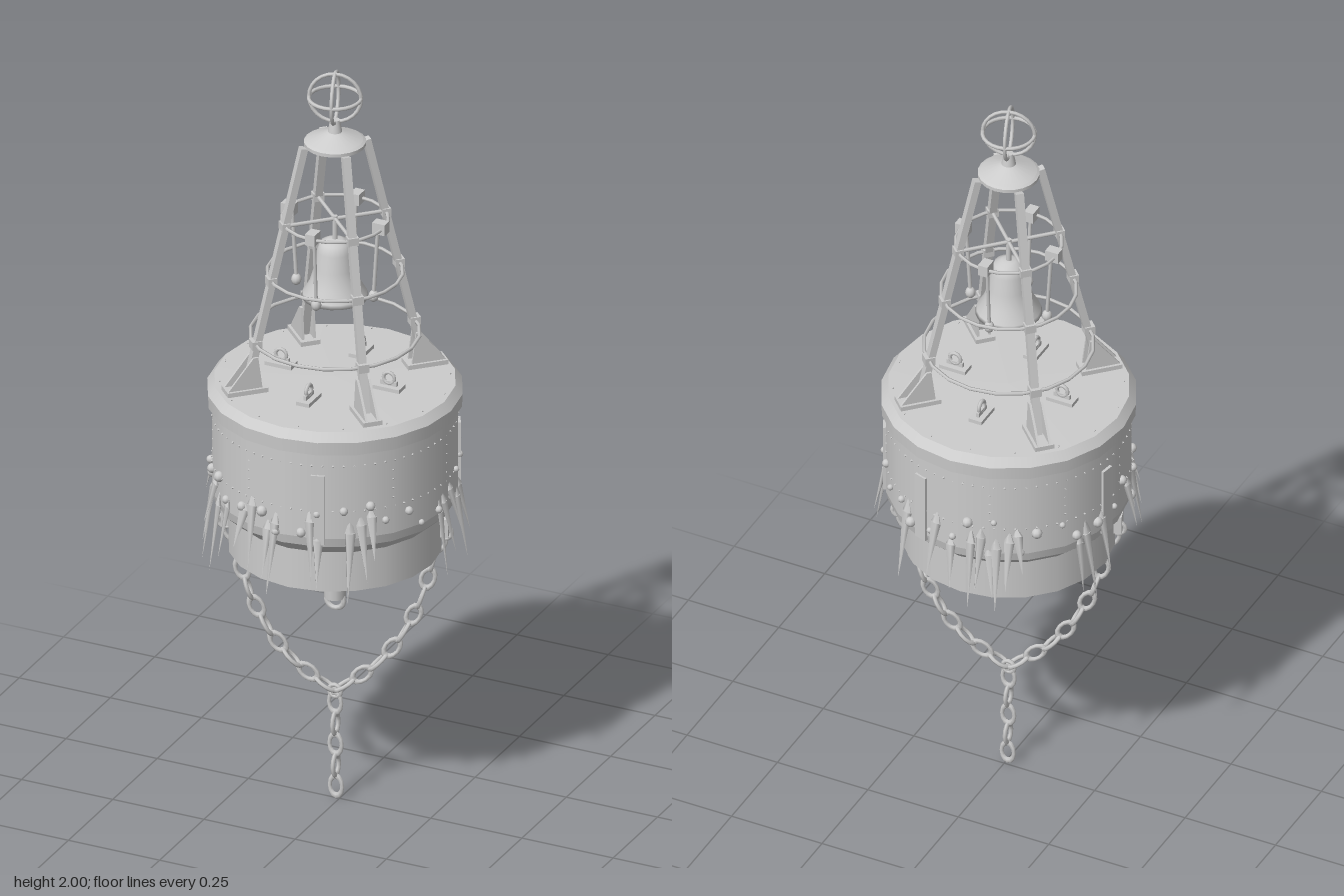
import * as THREE from 'three';
import { mergeGeometries } from 'three/addons/utils/BufferGeometryUtils.js';

const steel = new THREE.MeshStandardMaterial({ color: 0xcccccc });
steel.name = 'pale grey steel';
const V = (x, y, z) => new THREE.Vector3(x, y, z);
const UP = V(0, 1, 0);
const rad = THREE.MathUtils.degToRad;

function add(parent, name, geo, x = 0, y = 0, z = 0) {
  const m = new THREE.Mesh(geo, steel);
  m.name = name;
  m.position.set(x, y, z);
  parent.add(m);
  return m;
}
// group turned so that its +x points to the azimuth (degrees from +x towards +z)
function at(parent, name, deg) {
  const g = new THREE.Group();
  g.name = name;
  g.rotation.y = -rad(deg);
  parent.add(g);
  return g;
}
// revolved profile with a hard edge at every profile point
function turned(pts, sides) {
  const parts = [];
  for (let i = 1; i < pts.length; i++) {
    parts.push(new THREE.LatheGeometry([pts[i - 1], pts[i]].map(p => new THREE.Vector2(...p)), sides));
  }
  return mergeGeometries(parts);
}
// bar between two points
function beam(parent, name, a, b, geoOf) {
  const m = add(parent, name, geoOf(a.distanceTo(b)));
  m.position.copy(a).lerp(b, 0.5);
  m.quaternion.setFromUnitVectors(UP, b.clone().sub(a).normalize());
  return m;
}
function hoop(parent, name, r, tube, y, sides = 20) {
  const m = add(parent, name, new THREE.TorusGeometry(r, tube, 5, sides), 0, y, 0);
  m.rotation.x = Math.PI / 2;
  return m;
}

// oval links along a curve, every second one turned a quarter
function chain(parent, name, curve, count) {
  const g = new THREE.Group();
  g.name = name;
  parent.add(g);
  const link = new THREE.TorusGeometry(0.017, 0.0055, 6, 12).scale(1, 1.6, 1);
  for (let i = 0; i < count; i++) {
    const u = (i + 0.5) / count;
    const m = add(g, 'chainLink', link);
    m.position.copy(curve.getPointAt(u));
    m.quaternion.setFromUnitVectors(UP, curve.getTangentAt(u));
    m.rotateY(i % 2 ? Math.PI / 2 : 0);
  }
}

export function createModel() {
  const model = new THREE.Group();
  model.name = 'bellBuoy';
  const buoy = new THREE.Group();
  buoy.name = 'buoy';
  buoy.position.set(-0.01, 0, 0.005);
  model.add(buoy);

  // float: coned underside, open skirt, drum, rim and deck
  add(buoy, 'floatDrum', turned([[0, 0.715], [0.257, 0.8], [0.257, 0.7], [0.265, 0.7], [0.265, 0.808],
    [0.3, 0.84], [0.306, 0.865], [0.306, 1.1], [0.316, 1.1], [0.318, 1.135], [0.3, 1.157], [0, 1.163]], 20));

  // rivets on deck and drum
  const rivets = [];
  const rivet = (deg, r, y) => rivets.push(new THREE.OctahedronGeometry(0.0035)
    .translate(r * Math.cos(rad(deg)), y, r * Math.sin(rad(deg))));
  for (let i = 0; i < 16; i++) rivet(i * 22.5 + 15, 0.285, 1.16);
  for (let i = 0; i < 72; i++) {
    rivet(i * 5, 0.304, 1.065);
    rivet(i * 5, 0.304, 0.94);
  }
  for (let c = 0; c < 10; c++) for (let j = 1; j < 5; j++) rivet(c * 36, 0.305, 0.94 + j * 0.025);
  add(buoy, 'rivets', mergeGeometries(rivets));

  // vertical patch plates
  for (const deg of [-27, -72, 72, 191]) {
    add(at(buoy, 'patchPlate', deg), 'plate', new THREE.BoxGeometry(0.012, 0.19, 0.035), 0.304, 0.945, 0);
  }

  // counterweight pipe and its ring
  add(buoy, 'counterweightPipe', turned([[0, 0.555], [0.027, 0.555], [0.03, 0.62], [0.034, 0.62],
    [0.034, 0.73], [0, 0.73]], 12));
  add(buoy, 'pipeRing', new THREE.TorusGeometry(0.024, 0.007, 6, 14), 0, 0.548, 0);

  // tower legs with foot plates, gussets and ring brackets
  const footX = 0.232, topX = 0.082;
  const legX = y => footX + (topX - footX) * (y - 1.165) / 0.64;
  const ringData = [[1.285, 0.21], [1.452, 0.168], [1.597, 0.132]];
  const gusset = new THREE.ExtrudeGeometry(new THREE.Shape([new THREE.Vector2(0.045, 0),
    new THREE.Vector2(-0.022, 0.085), new THREE.Vector2(-0.034, 0.085), new THREE.Vector2(-0.045, 0)]),
  { depth: 0.006, bevelEnabled: false });
  for (let i = 0; i < 4; i++) {
    const g = at(buoy, 'towerLeg', 45 + i * 90);
    beam(g, 'leg', V(footX, 1.165, 0), V(topX, 1.805, 0), l => new THREE.BoxGeometry(0.018, l, 0.02));
    add(g, 'footPlate', new THREE.BoxGeometry(0.105, 0.012, 0.05), 0.235, 1.166, 0);
    for (const z of [-0.018, 0.012]) add(g, 'gusset', gusset, 0.24, 1.17, z);
    for (const [y, r] of ringData) {
      const x = legX(y);
      add(g, 'ringBracket', new THREE.BoxGeometry(Math.abs(r - x) + 0.02, 0.022, 0.028), (r + x) / 2, y, 0);
    }
    beam(g, 'bellSupport', V(0, 1.597, 0), V(legX(1.597), 1.597, 0), l => new THREE.CylinderGeometry(0.005, 0.005, l, 6));
  }
  for (const [y, r] of ringData) hoop(buoy, 'towerRing', r, 0.0048, y);

  // bell with hanger
  add(buoy, 'bell', new THREE.LatheGeometry([[0, 1.45], [0.04, 1.44], [0.07, 1.392], [0.083, 1.385],
    [0.08, 1.396], [0.063, 1.425], [0.051, 1.465], [0.045, 1.51], [0.036, 1.533], [0.018, 1.542], [0, 1.543]]
    .map(p => new THREE.Vector2(...p)), 20));
  add(buoy, 'bellHanger', new THREE.CylinderGeometry(0.007, 0.007, 0.07, 8), 0, 1.57, 0);

  // four swinging hammers and four deck lugs
  for (let i = 0; i < 4; i++) {
    const h = at(buoy, 'hammer', i * 90);
    add(h, 'hammerBracket', new THREE.BoxGeometry(0.035, 0.03, 0.026), 0.125, 1.6, 0);
    beam(h, 'hammerRod', V(0.118, 1.6, 0), V(0.106, 1.41, 0), l => new THREE.CylinderGeometry(0.005, 0.005, l, 6));
    add(h, 'hammerHead', new THREE.SphereGeometry(0.013, 10, 8), 0.106, 1.407, 0).scale.set(1, 1.2, 1);
    const d = at(buoy, 'deckLug', i * 90);
    add(d, 'lugPlate', new THREE.BoxGeometry(0.072, 0.01, 0.036), 0.148, 1.166, 0);
    add(d, 'lugWeb', new THREE.BoxGeometry(0.045, 0.014, 0.008), 0.148, 1.176, 0);
    add(d, 'lugEye', new THREE.TorusGeometry(0.015, 0.005, 6, 12), 0.148, 1.19, 0);
  }

  // tower cap and open ball topmark
  add(buoy, 'towerCap', turned([[0, 1.803], [0.077, 1.803], [0.077, 1.812], [0.07, 1.816],
    [0.018, 1.838], [0.012, 1.87], [0, 1.87]], 20));
  const ball = at(buoy, 'topmark', -18);
  ball.position.y = 1.93;
  const ballRing = new THREE.TorusGeometry(0.065, 0.005, 6, 24);
  add(ball, 'ballRing', ballRing);
  add(ball, 'ballRing', ballRing).rotation.y = Math.PI / 2;
  add(ball, 'ballRing', ballRing).rotation.x = Math.PI / 2;

  // mooring: two bridle chains from skirt lugs to one hanging chain
  for (const deg of [-19, 161]) {
    const g = at(buoy, 'bridle', deg);
    add(g, 'skirtLug', new THREE.BoxGeometry(0.03, 0.05, 0.03), 0.268, 0.765, 0);
    add(g, 'lugRing', new THREE.TorusGeometry(0.018, 0.006, 6, 12), 0.272, 0.748, 0);
    chain(g, 'bridleChain', new THREE.CatmullRomCurve3([V(0.265, 0.75, 0), V(0.237, 0.64, 0),
      V(0.197, 0.52, 0), V(0.133, 0.41, 0), V(0.068, 0.345, 0), V(0, 0.297, 0)]), 10);
  }
  add(buoy, 'joiningRing', new THREE.TorusGeometry(0.016, 0.006, 6, 12), 0, 0.295, 0);
  chain(buoy, 'mooringChain', new THREE.LineCurve3(V(0, 0.292, 0), V(0.003, 0.005, 0)), 5);

  // weed blades hanging off the drum
  const weeds = [-121, -117, -111, -108, -104, -99, -89, -81, -62, -20, -16, -4, 2.5, 6, 47, 52, 57, 72, 76,
    93, 97, 106, 111, 124, 134, 138, 142, 145, 170, 194, 204, 208];
  weeds.forEach((deg, i) => {
    const len = 0.1 + ((i * 37) % 11) * 0.009;
    const top = 0.92 - ((i * 23) % 7) * 0.01;
    const w = beam(at(buoy, 'weed', deg), 'weedBlade', V(0.334, top - len, ((i * 5) % 3 - 1) * 0.01),
      V(0.306, top, 0), l => new THREE.ConeGeometry(0.014, l, 5).rotateX(Math.PI).scale(0.5, 1, 1));
    w.rotateY(((i * 29) % 9 - 4) * 0.1);
    const cap = add(w, 'weedTip', new THREE.ConeGeometry(0.014, len * 0.25, 5).scale(0.5, 1, 1));
    cap.position.y = len / 2 + len * 0.14;
  });

  // barnacles
  for (let i = 0; i < 34; i++) {
    const b = at(buoy, 'barnacle', i * 137.5 + 20);
    add(b, 'shell', new THREE.SphereGeometry(0.008 + ((i * 7) % 5) * 0.0015, 8, 6),
      0.307, 0.87 + ((i * 17) % 11) * 0.009, 0);
  }
  return model;
}
